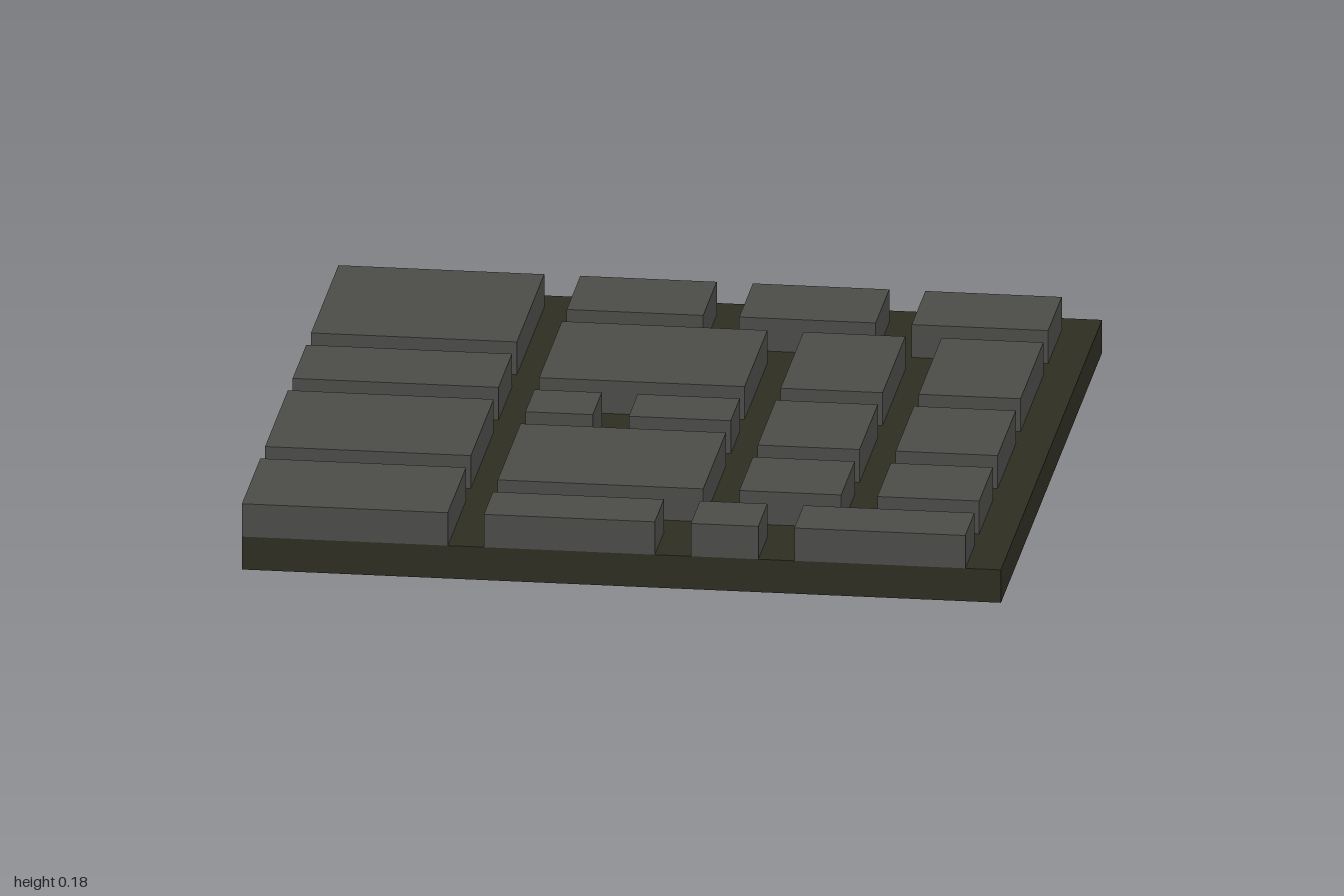
import * as THREE from 'three';

const U = 1 / 11; // grid unit: the slab is 22 x 22 units

// Paving stones on the grid: [x start, x end, z start, z end]
const STONES = [
  // large stones along the right-hand edge
  [0, 6, 1, 7], [0, 6, 8, 11], [0, 6, 12, 17], [0, 6, 18, 22],
  // back row
  [7, 11, 1, 4], [12, 16, 1, 4], [17, 21, 1, 4],
  // second row
  [7, 13, 5, 10], [14, 17, 5, 10], [18, 21, 5, 10],
  // middle stones
  [7, 9, 11, 13], [10, 13, 11, 13], [14, 17, 11, 15], [18, 21, 11, 15],
  [7, 13, 14, 19], [14, 17, 16, 19], [18, 21, 16, 19],
  // front row
  [7, 12, 20, 22], [13, 15, 20, 22], [16, 21, 20, 22],
];

export function createModel() {
  const group = new THREE.Group();
  group.name = 'pavedFloorTile';

  const mortar = new THREE.MeshStandardMaterial({ color: 0x2e2d22 });
  mortar.name = 'dark mortar';
  const stone = new THREE.MeshStandardMaterial({ color: 0x4b4b48 });
  stone.name = 'grey stone';

  // Square base slab
  const base = new THREE.Mesh(new THREE.BoxGeometry(2, U, 2), mortar);
  base.name = 'baseSlab';
  base.position.y = U / 2;
  group.add(base);

  // Raised stones, trimmed a hair where they meet a joint
  const low = (n) => n * U - 1 + (n > 0 ? 0.001 : 0);
  const high = (n) => n * U - 1 - (n < 22 ? 0.003 : 0);
  const stones = new THREE.Group();
  stones.name = 'pavingStones';
  STONES.forEach(([a, b, c, d], i) => {
    const x0 = low(a), x1 = high(b), z0 = low(c), z1 = high(d);
    const mesh = new THREE.Mesh(new THREE.BoxGeometry(x1 - x0, U, z1 - z0), stone);
    mesh.name = `pavingStone${i + 1}`;
    mesh.position.set((x0 + x1) / 2, U * 1.5, (z0 + z1) / 2);
    stones.add(mesh);
  });
  group.add(stones);

  return group;
}
